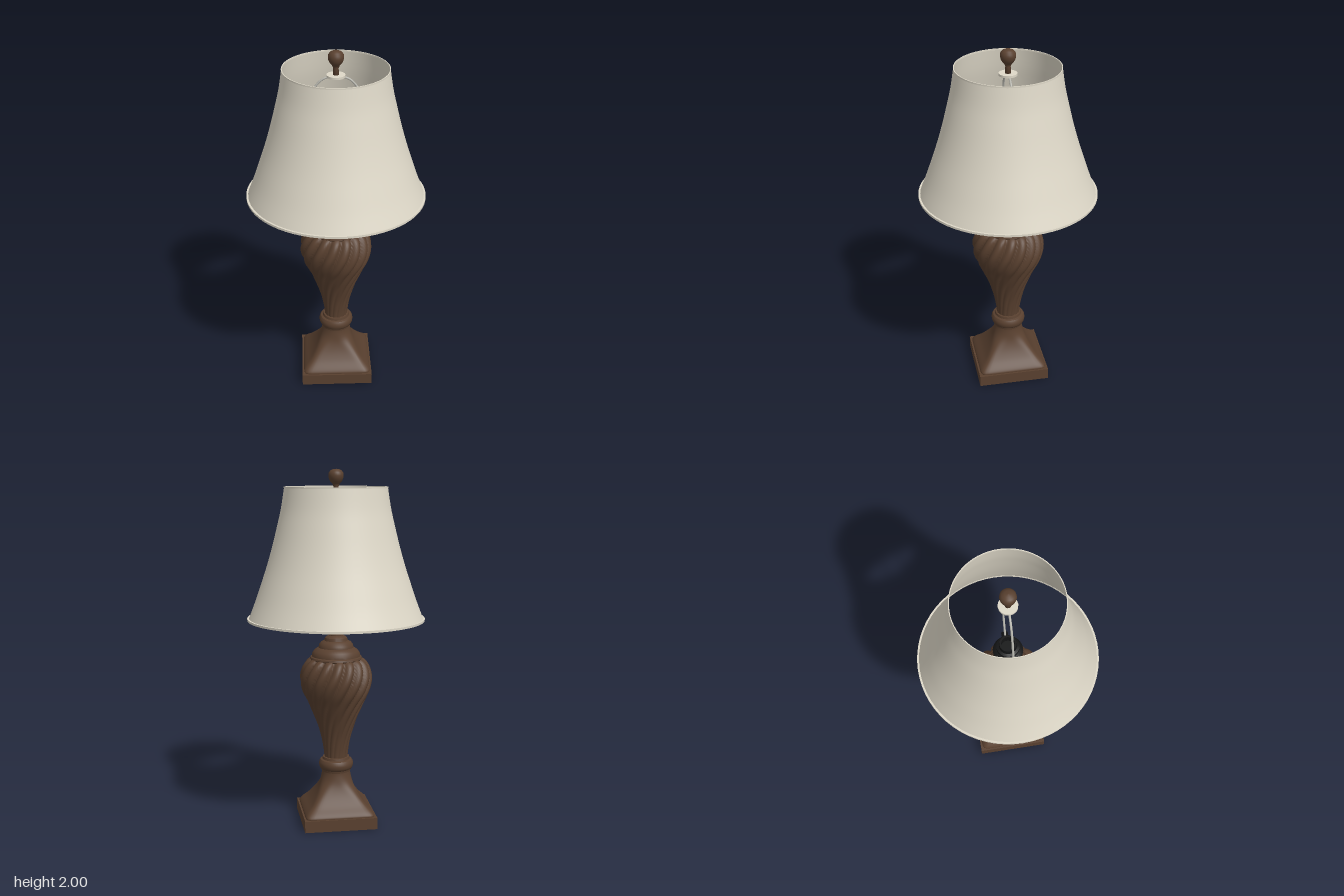
import * as THREE from 'three';
import { mergeVertices, toCreasedNormals } from 'three/addons/utils/BufferGeometryUtils.js';

const mat = (name, color, side = THREE.FrontSide) => {
  const m = new THREE.MeshStandardMaterial({ color, side });
  m.name = name;
  return m;
};
const pts = (rows) => rows.map(([r, y]) => new THREE.Vector2(r, y));

// Smooth profile through a few [radius, height] points
const smooth = (rows, n) => new THREE.SplineCurve(pts(rows)).getPoints(n);

// Lathe whose vertices are then scaled outwards by rule(angle, height)
function shapedLathe(profile, segments, rule) {
  let g = new THREE.LatheGeometry(profile, segments);
  const p = g.attributes.position;
  for (let i = 0; i < p.count; i++) {
    const x = p.getX(i), y = p.getY(i), z = p.getZ(i);
    const k = rule(Math.atan2(x, z), y);
    p.setXYZ(i, x * k, y, z * k);
  }
  g.deleteAttribute('uv');
  g.deleteAttribute('normal');
  g = mergeVertices(g, 1e-5);
  g.computeVertexNormals();
  return g;
}

// Plain turned moulding with crisp edges
const turned = (rows, segments = 48) =>
  toCreasedNormals(new THREE.LatheGeometry(pts(rows), segments), 0.6);

export function createModel() {
  const group = new THREE.Group();
  const wood = mat('dark brown wood', 0x59402f);
  const fabric = mat('cream fabric', 0xded8c8, THREE.DoubleSide);
  const black = mat('black socket', 0x141516);
  const metal = mat('pale metal', 0xb9b8b0);

  const add = (name, geometry, material, x = 0, y = 0, z = 0) => {
    const mesh = new THREE.Mesh(geometry, material);
    mesh.name = name;
    mesh.position.set(x, y, z);
    group.add(mesh);
    return mesh;
  };

  // Square plinth
  add('plinth', new THREE.BoxGeometry(0.41, 0.066, 0.41), wood, 0, 0.033);

  // Pedestal: rounded square at the foot, round at the neck
  const pedestal = smooth([[0.195, 0.066], [0.194, 0.075], [0.182, 0.092], [0.15, 0.127],
    [0.118, 0.175], [0.095, 0.225], [0.083, 0.275], [0.08, 0.3]], 28);
  add('pedestal', shapedLathe(pedestal, 96, (a, y) => {
    const t = THREE.MathUtils.smoothstep(y, 0.08, 0.3);
    const n = 2 + 12 * (1 - t) ** 2;
    return (Math.abs(Math.sin(a)) ** n + Math.abs(Math.cos(a)) ** n) ** (-1 / n);
  }), wood);

  // Collar between pedestal and body
  add('collar', turned([[0.06, 0.295], [0.082, 0.296], [0.084, 0.308], [0.09, 0.312], [0.096, 0.324],
    [0.098, 0.338], [0.096, 0.352], [0.089, 0.363], [0.078, 0.367], [0.075, 0.38], [0.05, 0.384]]), wood);

  // Body with twisted rounded flutes
  const body = smooth([[0.066, 0.375], [0.072, 0.43], [0.088, 0.51], [0.117, 0.6], [0.155, 0.69],
    [0.19, 0.765], [0.204, 0.83], [0.197, 0.885], [0.175, 0.93], [0.142, 0.955], [0.1, 0.96]], 56);
  const lobes = 16;
  add('flutedBody', shapedLathe(body, lobes * 10, (a, y) => {
    const twist = 1.5 * THREE.MathUtils.smoothstep(y, 0.3, 1.1);
    const lobe = Math.abs(Math.sin((a - twist) * lobes / 2));
    const depth = 0.05 + 0.1 * THREE.MathUtils.smoothstep(y, 0.38, 0.75);
    return 1 - depth * (1 - lobe) ** 1.3;
  }), wood);

  // Stepped cap above the body
  add('cap', turned([[0.1, 0.945], [0.142, 0.946], [0.147, 0.953], [0.144, 0.962], [0.136, 0.966],
    [0.135, 0.98], [0.126, 0.996], [0.108, 1.01], [0.098, 1.015], [0.096, 1.03], [0.084, 1.046],
    [0.066, 1.054], [0.062, 1.07], [0.05, 1.08], [0.041, 1.084], [0.04, 1.103], [0.052, 1.106],
    [0.052, 1.116], [0, 1.117]]), wood);

  // Lamp socket
  add('socket', turned([[0.03, 1.11], [0.03, 1.175], [0.045, 1.18], [0.05, 1.2], [0.052, 1.235],
    [0.066, 1.24], [0.08, 1.255], [0.082, 1.275], [0.07, 1.29], [0.055, 1.295], [0.055, 1.31],
    [0.062, 1.315], [0.062, 1.335], [0.048, 1.34], [0.046, 1.37], [0.036, 1.37], [0.036, 1.32],
    [0, 1.32]], 32), black);
  const stem = add('switchStem', new THREE.CylinderGeometry(0.009, 0.009, 0.07, 12), black, 0.078, 1.225);
  stem.rotation.z = Math.PI / 2;
  const knob = add('switchKnob', new THREE.CylinderGeometry(0.018, 0.018, 0.02, 12), black, 0.113, 1.225);
  knob.rotation.z = Math.PI / 2;

  // Wire harp, one mirrored loop
  const half = [[0.03, 1.19], [0.07, 1.2], [0.1, 1.26], [0.145, 1.37], [0.17, 1.5], [0.165, 1.62],
    [0.14, 1.73], [0.105, 1.81], [0.06, 1.85]];
  const loop = [...half, [0, 1.856], ...half.slice().reverse().map(([x, y]) => [-x, y])];
  const path = new THREE.CatmullRomCurve3(loop.map(([x, y]) => new THREE.Vector3(x, y, 0)));
  add('harp', new THREE.TubeGeometry(path, 90, 0.006, 8), metal);

  // Washer on top of the harp
  add('washer', new THREE.CylinderGeometry(0.05, 0.05, 0.012, 16), fabric, 0, 1.864);

  // Finial
  add('finial', new THREE.LatheGeometry(pts([[0, 1.868], [0.016, 1.87], [0.014, 1.905], [0.018, 1.915],
    [0.02, 1.92], [0.031, 1.932], [0.039, 1.947], [0.042, 1.963], [0.04, 1.979], [0.031, 1.991],
    [0.017, 1.998], [0, 2]]), 32), wood);

  // Flared shade with trimmed rims
  const shade = smooth([[0.486, 1.18], [0.452, 1.268], [0.42, 1.36], [0.385, 1.465], [0.353, 1.575],
    [0.324, 1.69], [0.301, 1.79], [0.283, 1.903]], 24);
  add('shade', new THREE.LatheGeometry(shade, 64), fabric);
  const rim = (name, r, y, w, h) => add(name, turned([[r - w, y], [r, y], [r, y + h], [r - w, y + h], [r - w, y]], 64), fabric);
  rim('lowerRim', 0.495, 1.172, 0.012, 0.012);
  rim('upperRim', 0.285, 1.897, 0.005, 0.008);

  return group;
}
